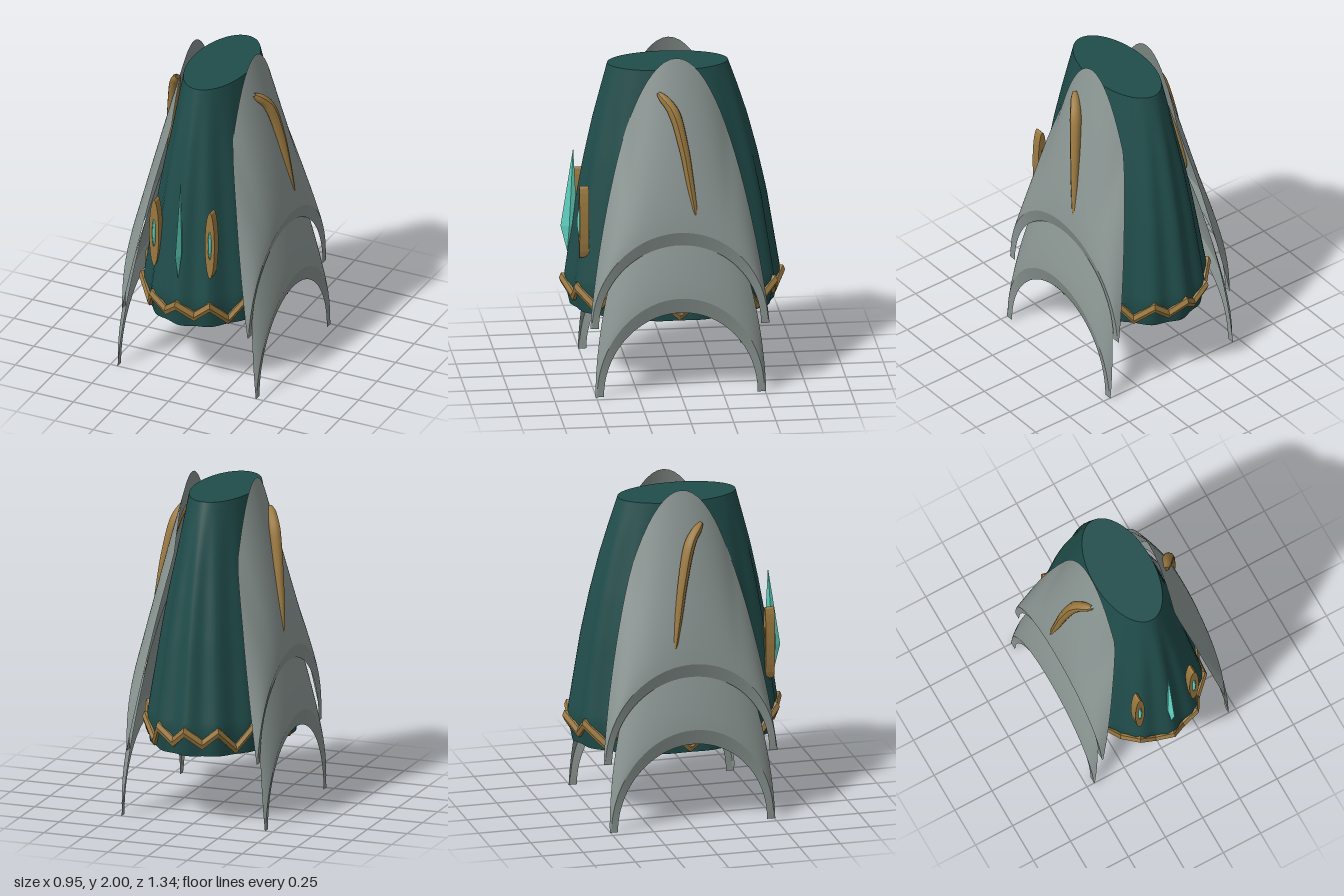
import * as THREE from 'three';

const mat = (name, color, extra = {}) => Object.assign(new THREE.MeshStandardMaterial({ color, ...extra }), { name });

// Piecewise-linear lookup in [[key, value], ...] with descending keys
function lookup(table, k) {
  if (k >= table[0][0]) return table[0][1];
  for (let i = 1; i < table.length; i++) {
    const [k0, v0] = table[i - 1], [k1, v1] = table[i];
    if (k >= k1) return v0 + (v1 - v0) * (k0 - k) / (k0 - k1);
  }
  return table[table.length - 1][1];
}

// Skin a list of rings, each a list of [x, y, z]
function loft(rings, closeRing = false, closeLoop = false) {
  const n = rings[0].length, m = rings.length, index = [];
  for (let i = 0; i < (closeLoop ? m : m - 1); i++) {
    for (let j = 0; j < (closeRing ? n : n - 1); j++) {
      const i2 = (i + 1) % m, j2 = (j + 1) % n;
      const a = i * n + j, b = i * n + j2, c = i2 * n + j2, d = i2 * n + j;
      index.push(a, b, c, a, c, d);
    }
  }
  const g = new THREE.BufferGeometry();
  g.setAttribute('position', new THREE.Float32BufferAttribute(rings.flat(2), 3));
  g.setIndex(index);
  g.computeVertexNormals();
  return g;
}

const FOLDS = 14;
// [height, half width, half depth, fold depth, z shift]
const BODY = [
  [1.92, 0.185, 0.357, 0, 0.027], [1.75, 0.215, 0.41, 0.006, 0.02], [1.58, 0.245, 0.46, 0.012, 0.015],
  [1.35, 0.295, 0.515, 0.018, 0.01], [1.1, 0.34, 0.565, 0.022, 0.005], [0.6, 0.425, 0.642, 0.026, 0], [0.44, 0.41, 0.605, 0.014, 0],
];
function bodyPoint(y, t, out = 0) {
  const [a, b, f, s] = [1, 2, 3, 4].map(k => lookup(BODY.map(r => [r[0], r[k]]), y));
  const r = 1 - f * (1 - Math.cos(FOLDS * t));
  return [(a * r + out) * Math.sin(t), y, (b * r + out) * Math.cos(t) + s];
}

// Plate shapes: outline, lower arch and rim as [half width, apex]; edge x by height; arch x at apex and foot
const UPPER = {
  foot: 0.41, outline: [0.53, 2], power: 1.2, arch: [0.52, 0.995], rim: [0.48, 0.91],
  archX: [0.437, 0.412], edge: [[2, 0.2], [1.56, 0.2], [1.2, 0.27], [0.41, 0.41]],
};
const LOWER = {
  foot: 0, outline: [0.505, 1.3], power: 1.7, arch: [0.495, 0.6], rim: [0.455, 0.505],
  archX: [0.477, 0.452], edge: [[1.3, 0.3], [0.9, 0.35], [0.41, 0.41], [0, 0.452]],
};

function plate(p, material, name) {
  const N = 48, M = 16;
  const arc = ([w, apex], th, power = 2) =>
    [p.foot + (apex - p.foot) * Math.max(0, Math.cos(th)) ** (2 / power), w * Math.sin(th)];
  const archX = th => p.archX[1] + (p.archX[0] - p.archX[1]) * Math.cos(th);
  const angles = Array.from({ length: N + 1 }, (_, j) => (1 - 2 * j / N) * Math.PI / 2);
  const rows = [];
  for (let i = 0; i <= M; i++) {
    const v = i / M;
    rows.push(angles.map(th => {
      const [y0, z0] = arc(p.arch, th), [y1, z1] = arc(p.outline, th, p.power);
      const x0 = archX(th), x1 = lookup(p.edge, y1);
      return [x0 + (x1 - x0) * v ** 1.2, y0 + (y1 - y0) * v, z0 + (z1 - z0) * v];
    }));
  }
  const rim = angles.map(th => [archX(th) - 0.025 * Math.cos(th), ...arc(p.rim, th)]);
  const g = new THREE.Group();
  g.name = name;
  const shell = new THREE.Mesh(loft(rows), material), lip = new THREE.Mesh(loft([rim, rows[0]]), material);
  shell.name = name + 'Shell';
  lip.name = name + 'Rim';
  g.add(shell, lip);
  return g;
}

// Tapered curved bar lying on a plate
function horn() {
  const curve = new THREE.CatmullRomCurve3([
    [0.25, 1.805, 0.11], [0.305, 1.71, 0.03], [0.352, 1.5, -0.028], [0.382, 1.29, -0.063], [0.41, 1.065, -0.098],
  ].map(v => new THREE.Vector3(...v)));
  const S = 32, R = 10, g = new THREE.TubeGeometry(curve, S, 1, R);
  const taper = [[1, 0.006], [0.96, 0.015], [0.7, 0.024], [0.4, 0.031], [0.2, 0.035], [0.05, 0.027], [0, 0.012]];
  const pos = g.attributes.position, v = new THREE.Vector3();
  for (let i = 0; i < pos.count; i++) {
    const u = Math.floor(i / (R + 1)) / S, c = curve.getPointAt(u);
    v.fromBufferAttribute(pos, i).sub(c).multiplyScalar(lookup(taper, u)).add(c);
    pos.setXYZ(i, v.x, v.y, v.z);
  }
  g.computeVertexNormals();
  return g;
}

export function createModel() {
  const root = new THREE.Group();
  root.name = 'caped tower';
  const cloth = mat('teal cloth', 0x204d4b);
  const steel = mat('grey steel', 0x8b9693, { side: THREE.DoubleSide });
  const gold = mat('bronze gold', 0x9c7a41, { side: THREE.DoubleSide });
  const crystal = mat('aqua crystal', 0x62d8c4);
  const add = (parent, name, geo, m) => {
    const mesh = new THREE.Mesh(geo, m);
    mesh.name = name;
    parent.add(mesh);
    return mesh;
  };

  // Folded robe with flat top and bottom
  const SEG = FOLDS * 8, LAYERS = 28, rings = [];
  for (let i = 0; i <= LAYERS; i++) {
    const y = 0.44 + 1.48 * i / LAYERS;
    rings.push(Array.from({ length: SEG }, (_, j) => bodyPoint(y, j / SEG * Math.PI * 2)));
  }
  add(root, 'robe', loft(rings, true), cloth);
  const hub = y => rings[0].map(() => [0, y, 0]);
  add(root, 'robeTop', loft([rings[LAYERS], hub(1.92)], true), cloth);
  add(root, 'robeBottom', loft([hub(0.44), rings[0]], true), cloth);

  // Zigzag hem band, high on the folds and low between them
  const profile = [[-0.03, 0.03], [0.016, 0.03], [0.028, 0], [0.016, -0.03], [-0.03, -0.03]];
  const band = [];
  for (let k = 0; k < FOLDS * 2; k++) {
    const t = k * Math.PI / FOLDS;
    const y = k % 2 === 0 ? 0.598 : Math.abs(bodyPoint(0.5, t)[0]) < 0.15 ? 0.515 : 0.475;
    band.push(profile.map(([out, dy]) => {
      const [x, , z] = bodyPoint(y, t, out);
      return [x, y + dy, z];
    }));
  }
  const bandGeo = loft(band, true, true).toNonIndexed();
  bandGeo.computeVertexNormals();
  add(root, 'hemBand', bandGeo, gold);

  // Matching sides: plates, horn, brooch
  for (const s of [1, -1]) {
    const side = new THREE.Group();
    side.name = s > 0 ? 'leftSide' : 'rightSide';
    side.scale.x = s;
    side.add(plate(UPPER, steel, 'upperPlate'), plate(LOWER, steel, 'lowerPlate'));
    add(side, 'horn', horn(), gold);

    const oval = new THREE.Shape().absellipse(0, 0, 0.031, 0.222, 0, Math.PI * 2);
    oval.holes.push(new THREE.Path().absellipse(0, 0, 0.012, 0.095, 0, Math.PI * 2, true));
    const frame = new THREE.ExtrudeGeometry(oval, { depth: 0.055, bevelEnabled: false, curveSegments: 10 });
    add(side, 'broochFrame', frame, gold).position.set(0.182, 1, 0.515);
    const gem = add(side, 'broochGem', new THREE.SphereGeometry(1, 16, 12), crystal);
    gem.scale.set(0.014, 0.105, 0.034);
    gem.position.set(0.182, 1, 0.55);
    root.add(side);
  }

  // Central crystal shard
  const ringAt = (y, z, w, d) => [[0, y, z + d], [w, y, z], [0, y, z - d], [-w, y, z]];
  const shard = loft([ringAt(0.76, 0.62, 0, 0), ringAt(0.92, 0.61, 0.018, 0.05), ringAt(1.4, 0.585, 0, 0)], true).toNonIndexed();
  shard.computeVertexNormals();
  add(root, 'shard', shard, crystal);
  return root;
}
